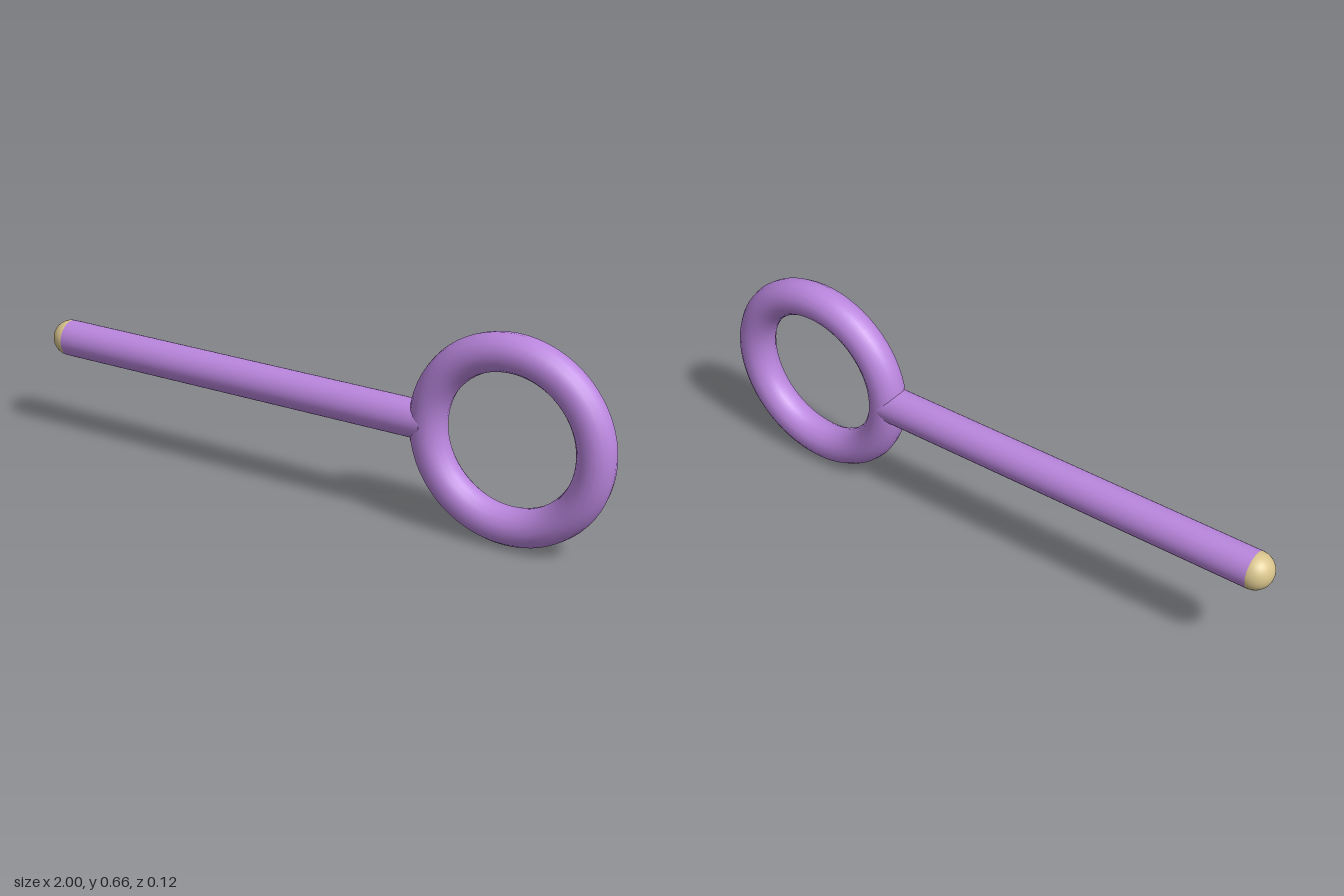
import * as THREE from 'three';

export function createModel() {
  const group = new THREE.Group();
  const purple = new THREE.MeshStandardMaterial({ name: 'purple', color: 0xba86de });
  const tan = new THREE.MeshStandardMaterial({ name: 'tan', color: 0xd8c48c });

  const r = 0.059;             // tube radius shared by every part
  const ringR = 0.272;         // ring centreline radius
  const ringX = 1 - ringR - r; // ring centre
  const midY = ringR + r;
  const shaftStart = -1 + r;
  const shaftEnd = ringX - ringR - 0.004;

  const add = (name, geometry, material, x) => {
    const mesh = new THREE.Mesh(geometry, material);
    mesh.name = name;
    mesh.position.set(x, midY, 0);
    group.add(mesh);
  };

  // Round loop
  add('ring', new THREE.TorusGeometry(ringR, r, 16, 64), purple, ringX);

  // Straight handle running into the loop's tube
  const shaft = new THREE.CylinderGeometry(r, r, shaftEnd - shaftStart, 32);
  shaft.rotateZ(Math.PI / 2);
  add('shaft', shaft, purple, (shaftStart + shaftEnd) / 2);

  // Domed end cap pointing to -x
  const tip = new THREE.SphereGeometry(r, 32, 12, 0, Math.PI * 2, 0, Math.PI / 2);
  tip.rotateZ(Math.PI / 2);
  add('tip', tip, tan, shaftStart);

  return group;
}
